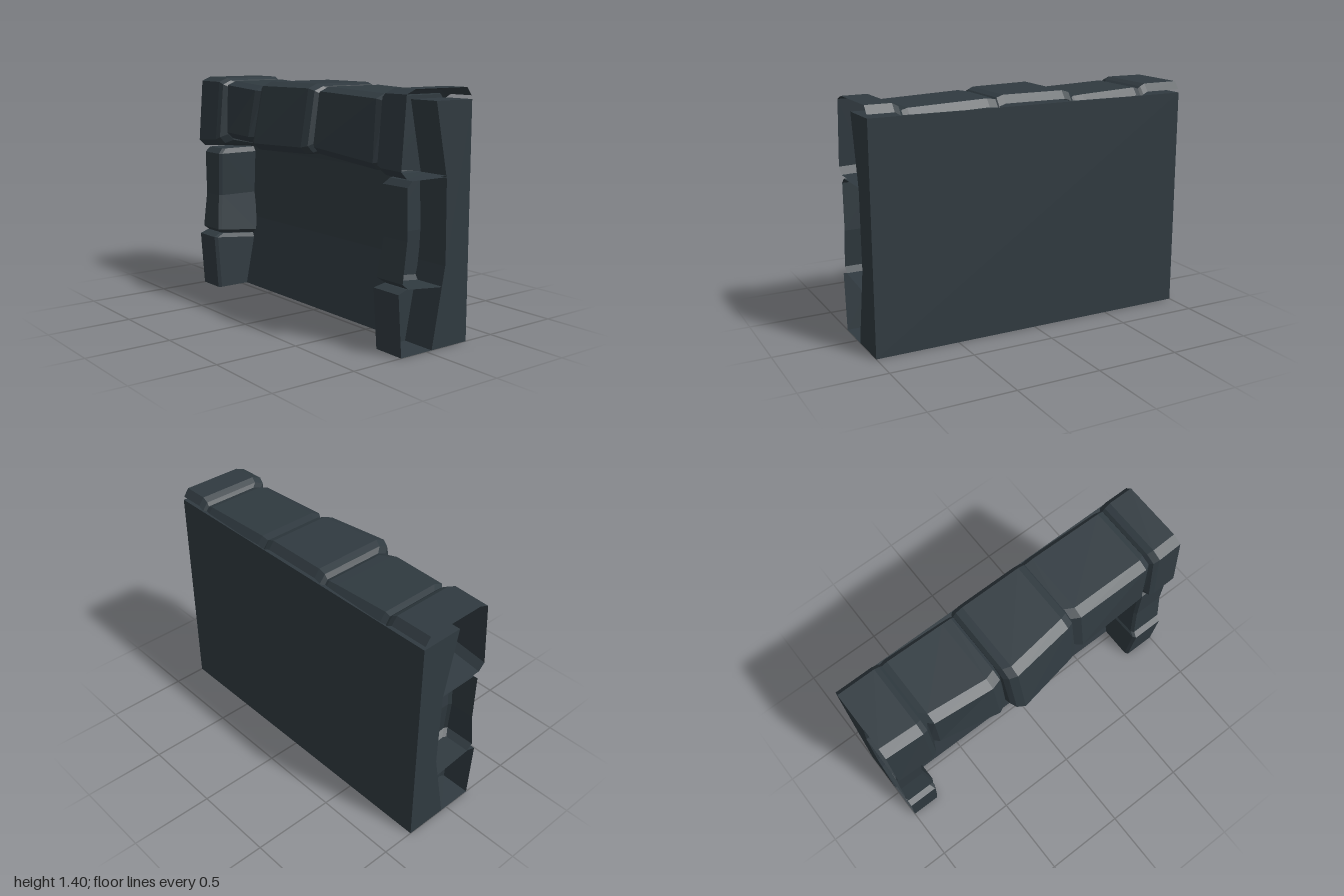
import * as THREE from 'three';

// Join rings of points into a faceted skin; skip = strip left open, caps = fan-filled ends
function loft(rings, { skip = -1, capStart = false, capEnd = false } = {}) {
  const n = rings[0].length, index = [];
  for (let i = 0; i < rings.length - 1; i++) {
    for (let j = 0; j < n - 1; j++) {
      if (j === skip) continue;
      const a = i * n + j, b = a + n;
      index.push(a, a + 1, b, b, a + 1, b + 1);
    }
  }
  const last = (rings.length - 1) * n;
  for (let k = 1; k < n - 1; k++) {
    if (capStart) index.push(0, k + 1, k);
    if (capEnd) index.push(last, last + k, last + k + 1);
  }
  const g = new THREE.BufferGeometry();
  g.setAttribute('position', new THREE.Float32BufferAttribute(rings.flat(2), 3));
  g.setIndex(index);
  const flat = g.toNonIndexed();
  flat.computeVertexNormals();
  return flat;
}

export function createModel() {
  const group = new THREE.Group();
  const stone = new THREE.MeshStandardMaterial({ color: 0x303a40, flatShading: true, side: THREE.DoubleSide });
  stone.name = 'dark slate';
  const add = (name, geometry) => {
    const mesh = new THREE.Mesh(geometry, stone);
    mesh.name = name;
    group.add(mesh);
  };

  // Back wall with a hollowed front
  const profile = [[-0.3, 1.335], [-0.04, 1.335], [-0.125, 0.92], [-0.13, 0.45], [-0.04, 0], [-0.3, 0]];
  const wallRing = (x) => [...profile, profile[0]].map(([z, y]) => [x, y, z]);
  add('backWall', loft([wallRing(-1), wallRing(1)], { capStart: true, capEnd: true }));

  // Side post stones, open on the outer side; rows are [y, inner x, front z, back z, tilt]
  function postStone(name, side, rows) {
    const rings = rows.map(([y, x, zf, zb, tilt]) => {
      const points = [[x, zb], [x, zf - 0.02], [x + 0.012, zf], [1, zf], [1, zb]]
        .map(([px, z]) => [side * px, y + tilt * z, z]);
      return side > 0 ? points : points.reverse();
    });
    add(name, loft(rings, { skip: side > 0 ? 3 : 0, capStart: true, capEnd: true }));
  }
  for (const side of [1, -1]) {
    const label = side > 0 ? 'left' : 'right';
    const d = side > 0 ? 0 : 0.02;
    postStone(label + 'LowerPostStone', side, [
      [0, 0.79 + d, 0.18, -0.04, 0],
      [0.325, 0.79 + d, 0.205, -0.11, 0.1],
      [0.35, 0.81 + d, 0.15, -0.11, 0.1],
    ]);
    postStone(label + 'UpperPostStone', side, [
      [0.352, 0.81 + d, 0.14, -0.115, 0.1],
      [0.378, 0.787 + d * 0.7, 0.178, -0.12, 0.1],
      [0.62, 0.803 + d * 1.7, 0.15, -0.135, 0],
      [0.9, 0.797 + d, 0.155, -0.13, 0],
      [0.932, 0.815 + d, 0.12, -0.13, 0],
    ]);
  }

  // Lintel stones; rows are [x, top y, bottom y, upper front z, lower front z, underside back y]
  const lintelRing = ([x, yt, yb, zt, zb, yu]) => [
    [x, yt - 0.045, -0.295], [x, yt, -0.26], [x, yt, zt - 0.06], [x, yt - 0.025, zt],
    [x, yb + 0.04, zb], [x, yb, zb - 0.04], [x, yu, -0.13],
  ];
  const lintel = (name, capStart, capEnd, rows) =>
    add(name, loft(rows.map(lintelRing), { capStart, capEnd }));

  lintel('rightCornerStone', false, true, [
    [-1, 1.4, 0.945, 0.17, 0.2, 0.94],
    [-0.77, 1.4, 0.965, 0.18, 0.212, 0.94],
    [-0.74, 1.385, 0.98, 0.17, 0.2, 0.945],
    [-0.715, 1.365, 1.0, 0.13, 0.15, 0.95],
  ]);
  lintel('innerRightLintelStone', true, true, [
    [-0.73, 1.37, 1.02, 0.12, 0.14, 0.965],
    [-0.69, 1.382, 1.015, 0.165, 0.175, 0.965],
    [-0.33, 1.365, 1.02, 0.195, 0.25, 0.99],
    [-0.27, 1.36, 1.02, 0.175, 0.22, 0.99],
    [-0.24, 1.345, 1.035, 0.13, 0.16, 0.99],
  ]);
  lintel('middleLintelStone', true, true, [
    [-0.255, 1.36, 1.02, 0.18, 0.24, 0.985],
    [-0.235, 1.385, 1.0, 0.21, 0.275, 0.985],
    [-0.19, 1.398, 0.995, 0.23, 0.3, 0.985],
    [0.19, 1.398, 1.0, 0.18, 0.235, 0.985],
    [0.23, 1.385, 1.01, 0.165, 0.215, 0.985],
    [0.25, 1.365, 1.03, 0.13, 0.16, 0.985],
  ]);
  lintel('innerLeftLintelStone', true, true, [
    [0.225, 1.375, 1.03, 0.13, 0.17, 0.985],
    [0.29, 1.385, 1.01, 0.17, 0.215, 0.98],
    [0.76, 1.368, 0.965, 0.165, 0.185, 0.94],
    [0.805, 1.355, 0.975, 0.14, 0.15, 0.94],
  ]);
  lintel('leftCornerStone', true, false, [
    [0.795, 1.36, 0.98, 0.14, 0.16, 0.945],
    [0.81, 1.38, 0.96, 0.165, 0.195, 0.94],
    [0.845, 1.4, 0.95, 0.175, 0.203, 0.94],
    [1, 1.4, 0.945, 0.17, 0.2, 0.94],
  ]);
  return group;
}
